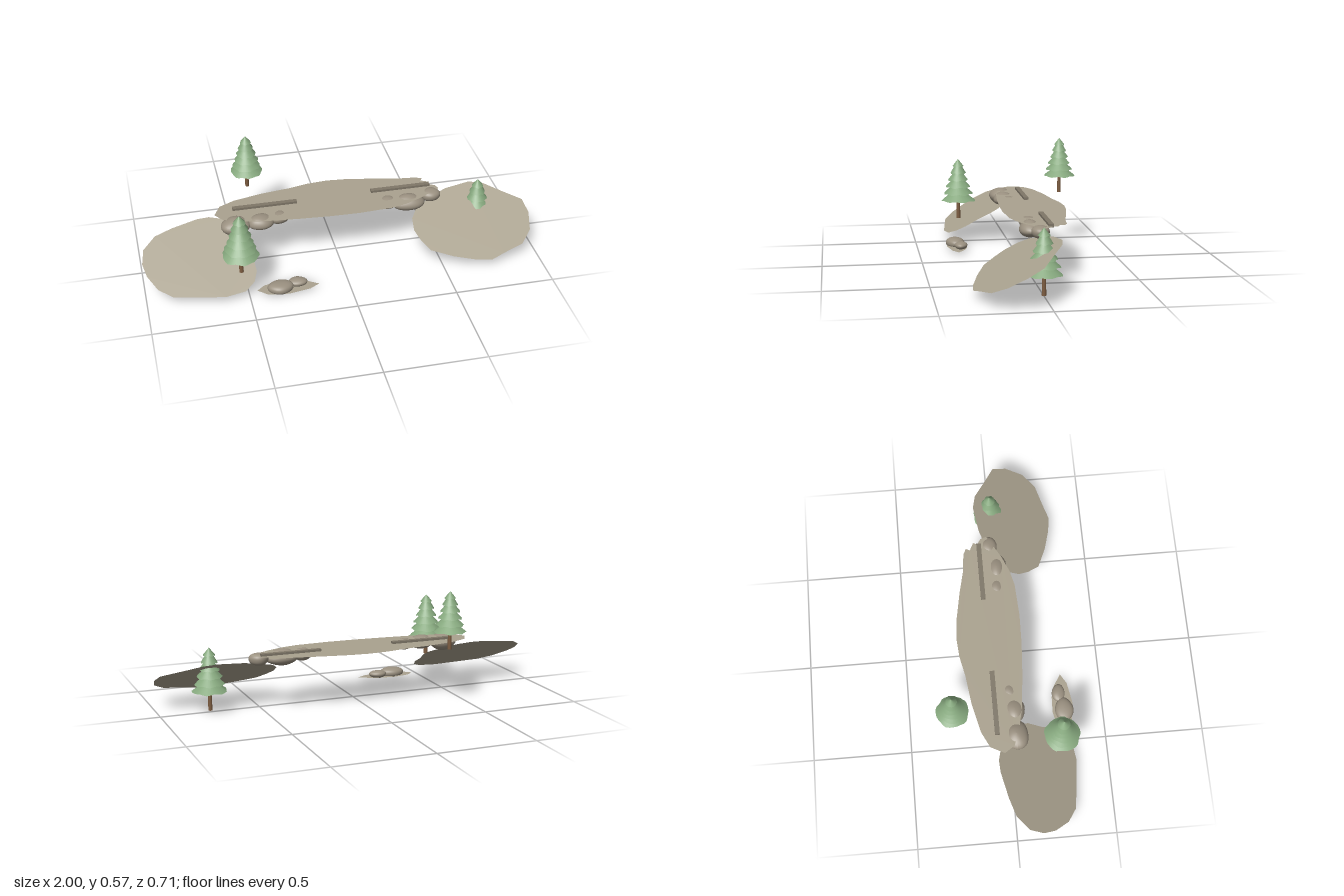
import * as THREE from 'three';

const mat = (name, color, side = THREE.FrontSide) => {
  const m = new THREE.MeshStandardMaterial({ color, side });
  m.name = name;
  return m;
};

export function createModel() {
  const model = new THREE.Group();
  model.name = 'rockyLedges';
  const ground = mat('pale stone ground', 0xaaa28f, THREE.DoubleSide);
  const stone = mat('grey brown rock', 0x9a9080);
  const kerb = mat('dark stone', 0x7f7768);
  const leaf = mat('soft green needles', 0x86a87e, THREE.DoubleSide);
  const bark = mat('brown bark', 0x7c5c40);

  const add = (name, geometry, material, x = 0, y = 0, z = 0, parent = model) => {
    const mesh = new THREE.Mesh(geometry, material);
    mesh.name = name;
    mesh.position.set(x, y, z);
    parent.add(mesh);
    return mesh;
  };

  // Thin ground sheet: outline of [x, z] points raised to height(z)
  const sheet = (name, outline, height) => {
    const shape = new THREE.Shape(outline.map(([x, z]) => new THREE.Vector2(x, -z)));
    const geo = new THREE.ShapeGeometry(shape);
    const p = geo.attributes.position;
    for (let i = 0; i < p.count; i++) {
      const z = -p.getY(i);
      p.setXYZ(i, p.getX(i), height(z), z);
    }
    geo.computeVertexNormals();
    return add(name, geo, ground);
  };

  // Sloping side banks
  const slope = z => 0.215 - 0.53 * z;
  sheet('rightBank', [
    [-1, 0.13], [-0.985, 0.06], [-0.92, 0], [-0.83, -0.03], [-0.7, -0.06], [-0.64, -0.063],
    [-0.57, -0.045], [-0.51, 0], [-0.45, 0.05], [-0.44, 0.1], [-0.455, 0.17], [-0.45, 0.23],
    [-0.47, 0.28], [-0.52, 0.32], [-0.62, 0.335], [-0.75, 0.32], [-0.87, 0.305],
    [-0.94, 0.26], [-0.985, 0.19],
  ], slope);
  sheet('leftBank', [
    [0.38, 0.13], [0.385, 0.07], [0.42, 0.02], [0.53, -0.04], [0.6, -0.065], [0.73, -0.085],
    [0.8, -0.07], [0.89, -0.015], [0.985, 0.04], [1, 0.11], [0.98, 0.2], [0.92, 0.265],
    [0.81, 0.3], [0.74, 0.325], [0.66, 0.315], [0.55, 0.285], [0.44, 0.24], [0.4, 0.18],
  ], slope);

  // Long upper ledge and small lower ledge
  sheet('upperLedge', [
    [-0.615, -0.03], [-0.58, -0.1], [-0.5, -0.14], [-0.35, -0.175], [-0.2, -0.195],
    [-0.1, -0.217], [0, -0.225], [0.1, -0.217], [0.25, -0.19], [0.36, -0.165], [0.46, -0.155],
    [0.49, -0.14], [0.48, -0.12], [0.52, -0.1], [0.51, -0.08], [0.54, -0.06], [0.55, -0.03],
    [0.5, 0], [0.43, 0.04], [0.35, 0.075], [0.27, 0.095], [0.1, 0.105], [-0.05, 0.102],
    [-0.2, 0.092], [-0.38, 0.075], [-0.5, 0.05], [-0.58, 0.02],
  ], z => 0.277 - 0.01 * z);
  sheet('lowerLedge', [
    [-0.46, 0.29], [-0.42, 0.255], [-0.35, 0.24], [-0.27, 0.243], [-0.21, 0.26],
    [-0.15, 0.298], [-0.2, 0.328], [-0.31, 0.348], [-0.41, 0.335],
  ], () => 0.017);

  // Smooth boulders: spheres with a gentle swell
  const rock = (name, x, y, z, rx, ry, rz) => {
    const geo = new THREE.SphereGeometry(1, 28, 20);
    const p = geo.attributes.position;
    const v = new THREE.Vector3();
    for (let i = 0; i < p.count; i++) {
      v.fromBufferAttribute(p, i);
      const k = 0.96 + 0.05 * Math.sin(3 * v.x + x * 40) * Math.cos(2.5 * v.z + x * 17)
        + 0.03 * Math.sin(4 * v.y + x * 23);
      p.setXYZ(i, v.x * k * rx, v.y * k * ry, v.z * k * rz);
    }
    geo.computeVertexNormals();
    add(name, geo, stone, x, y, z);
  };
  [
    [-0.52, 0.243, 0.035, 0.078, 0.046, 0.062], [-0.39, 0.25, 0.035, 0.07, 0.036, 0.055],
    [-0.295, 0.252, 0.02, 0.052, 0.029, 0.045], [0.27, 0.251, 0.005, 0.058, 0.032, 0.045],
    [0.38, 0.243, 0.01, 0.088, 0.043, 0.055], [0.505, 0.252, -0.02, 0.052, 0.033, 0.045],
  ].forEach((r, i) => rock('ledgeRock' + (i + 1), ...r));
  [
    [-0.345, 0.029, 0.3, 0.067, 0.028, 0.05], [-0.255, 0.031, 0.278, 0.048, 0.022, 0.034],
  ].forEach((r, i) => rock('lowerRock' + (i + 1), ...r));

  // Low kerbs on the upper ledge
  add('rightKerb', new THREE.BoxGeometry(0.33, 0.016, 0.024), kerb, -0.355, 0.281, -0.06);
  add('leftKerb', new THREE.BoxGeometry(0.31, 0.016, 0.024), kerb, 0.355, 0.281, -0.072);

  // Conifers: six overlapping open cones with ragged hems
  const tree = (name, x, z, base, hem, top, radius) => {
    const group = new THREE.Group();
    group.name = name;
    group.position.set(x, 0, z);
    model.add(group);
    const trunkTop = hem + 0.08;
    add('trunk', new THREE.CylinderGeometry(radius * 0.09, radius * 0.12, trunkTop - base, 12),
      bark, 0, (trunkTop + base) / 2, 0, group);
    const step = (top - hem) / 6.05;
    for (let i = 0; i < 6; i++) {
      const r = radius * (1 - 0.132 * i);
      const h = i === 5 ? top - hem - 5 * step : step * 1.9;
      const geo = new THREE.ConeGeometry(r, h, 28, 1, true);
      const p = geo.attributes.position;
      for (let j = 0; j < p.count; j++) {
        if (p.getY(j) > 0) continue;
        const a = Math.atan2(p.getZ(j), p.getX(j));
        const k = 0.97 + 0.035 * Math.sin(5 * a + i * 2 + x * 9) + 0.02 * Math.sin(9 * a + i);
        p.setXYZ(j, p.getX(j) * k, p.getY(j) + 0.003 * Math.sin(7 * a + i), p.getZ(j) * k);
      }
      add('needles' + (i + 1), geo, leaf, 0, hem + i * step + h / 2, 0, group);
    }
  };
  tree('frontTree', -0.53, 0.263, 0.125, 0.224, 0.45, 0.092);
  tree('backTree', -0.41, -0.272, 0.276, 0.367, 0.57, 0.083);
  tree('leftTree', 0.75, 0.003, 0.01, 0.108, 0.325, 0.088);

  return model;
}
